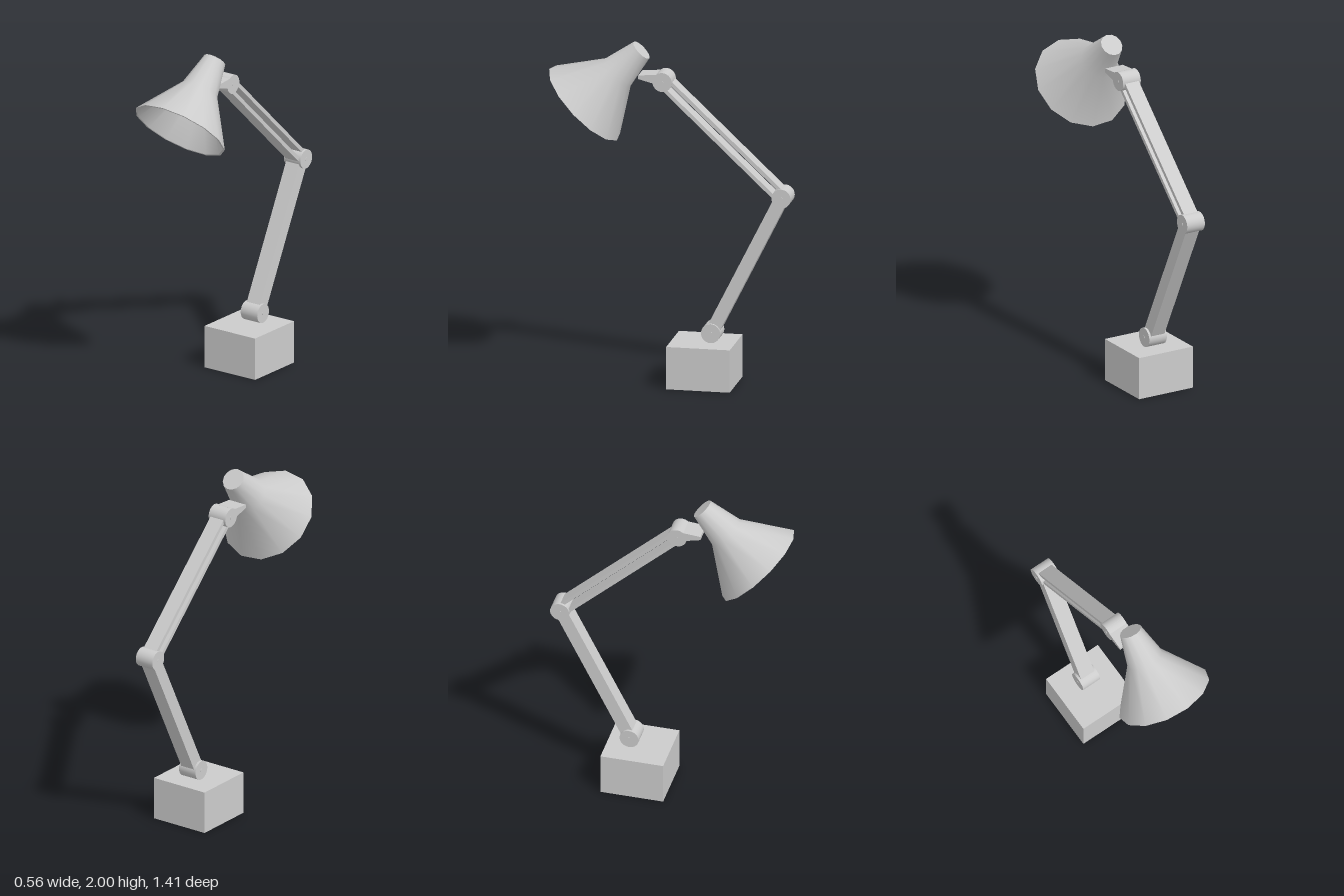
import * as THREE from 'three';
import { toCreasedNormals } from 'three/addons/utils/BufferGeometryUtils.js';

const grey = new THREE.MeshStandardMaterial({ color: 0xcccccc });
const AXIS_X = -0.022; // centre plane of the arm
const HINGE_R = 0.056;
const HINGE_W = 0.118;

// joint positions as [y, z]
const foot = [0.31, -0.234];
const elbow = [1.127, -0.644];
const wrist = [1.777, 0.048];

export function createModel() {
  const model = new THREE.Group();
  model.name = 'deskLamp';

  const add = (name, geometry, x = 0, y = 0, z = 0, parent = model) => {
    const mesh = new THREE.Mesh(geometry, grey);
    mesh.name = name;
    mesh.position.set(x, y, z);
    parent.add(mesh);
    return mesh;
  };

  // base block
  add('base', new THREE.BoxGeometry(0.36, 0.25, 0.37), -0.025, 0.125, -0.185);

  // hinge barrels with small pins
  const disc = (r, w, sides) =>
    toCreasedNormals(new THREE.CylinderGeometry(r, r, w, sides).rotateZ(Math.PI / 2), 0.6);
  const hinge = (name, [y, z]) => {
    add(name, disc(HINGE_R, HINGE_W, 32), AXIS_X, y, z);
    add(name + 'Pin', disc(0.01, HINGE_W + 0.004, 12), AXIS_X, y, z);
  };
  hinge('footHinge', foot);
  hinge('elbowHinge', elbow);
  hinge('headHinge', wrist);

  // arm segments: bars laid between two joints, each bar as [offset, thickness]
  const arm = (name, a, b, bars) => {
    const group = new THREE.Group();
    group.name = name;
    const dy = b[0] - a[0];
    const dz = b[1] - a[1];
    group.position.set(AXIS_X, (a[0] + b[0]) / 2, (a[1] + b[1]) / 2);
    group.rotation.x = Math.atan2(dz, dy);
    const length = Math.hypot(dy, dz) - 0.04;
    for (const [offset, thickness] of bars) {
      add(name + 'Bar', new THREE.BoxGeometry(0.091, length, thickness), 0, 0, offset, group);
    }
    model.add(group);
  };
  arm('lowerArm', foot, elbow, [[0, 0.076]]);
  arm('upperArm', elbow, wrist, [[-0.028, 0.022], [0.028, 0.022]]);

  // tapered bracket from the head hinge to the shade, drawn in z, y
  const bracket = new THREE.Shape([
    [0.05, 1.833], [0.085, 1.82], [0.187, 1.812], [0.187, 1.79],
    [0.1, 1.768], [0.075, 1.735], [0.045, 1.73],
  ].map(([z, y]) => new THREE.Vector2(z, y)));
  add(
    'headBracket',
    new THREE.ExtrudeGeometry(bracket, { depth: HINGE_W, bevelEnabled: false }).rotateY(-Math.PI / 2),
    AXIS_X + HINGE_W / 2
  );

  // hollow shade: inner wall down to the rim, outer wall up to the closed cap
  const profile = [
    [0, 0.458], [0.056, 0.458], [0.098, 0.275], [0.271, 0],
    [0.283, 0], [0.109, 0.271], [0.066, 0.47], [0, 0.47],
  ].map(([r, y]) => new THREE.Vector2(r, y));
  const shade = add(
    'shade',
    toCreasedNormals(new THREE.LatheGeometry(profile, 13, 0.09), 0.6),
    0, 1.62, 0.508
  );
  shade.rotation.x = -Math.PI / 4;

  return model;
}
